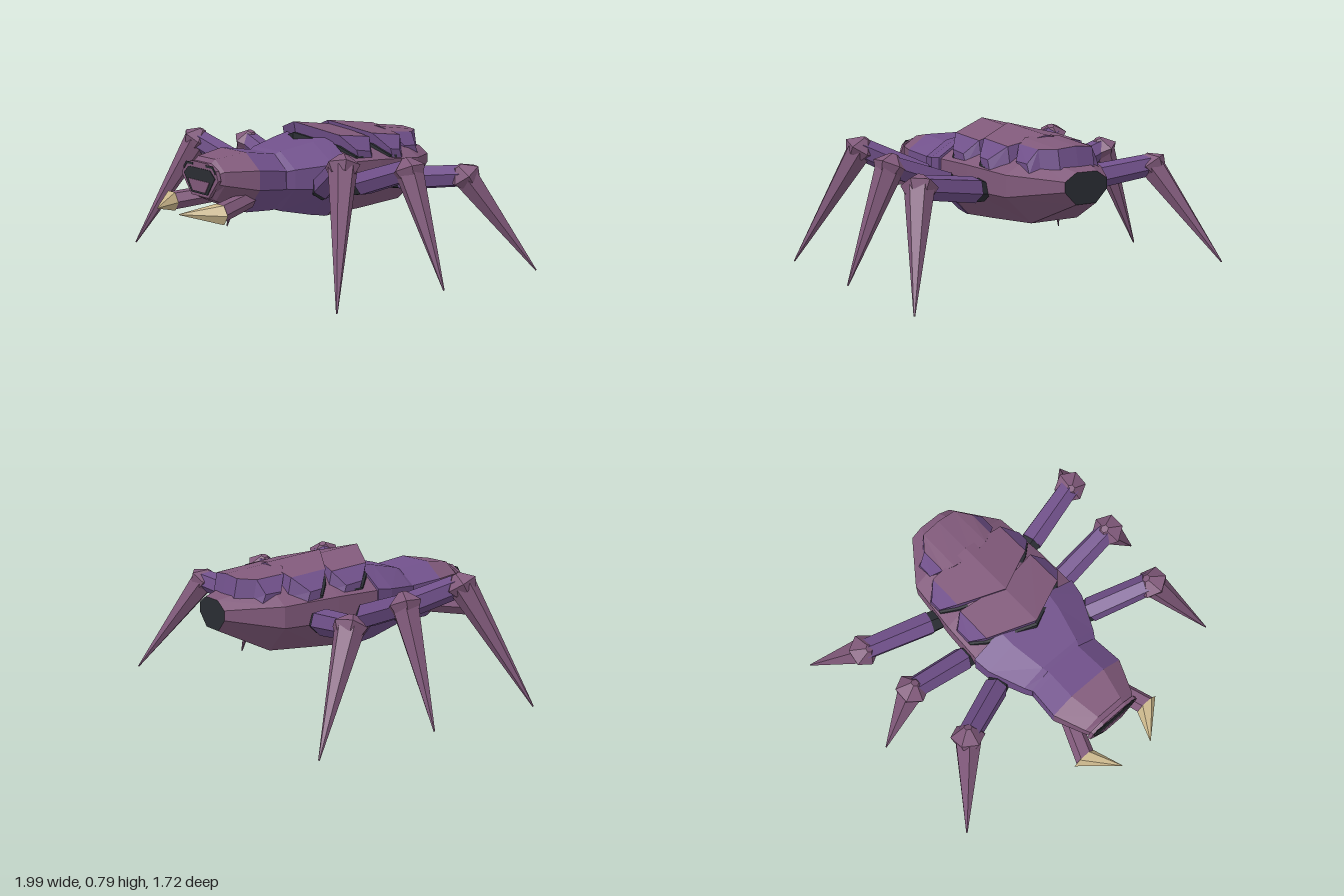
import * as THREE from 'three';

const V = (x, y, z) => new THREE.Vector3(x, y, z);
const mat = (name, color) => {
  const m = new THREE.MeshStandardMaterial({ color });
  m.name = name;
  return m;
};

export function createModel() {
  const mauve = mat('mauve shell', 0x80597a);
  const purple = mat('purple shell', 0x70508a);
  const dark = mat('dark joints', 0x2a2d33);
  const cream = mat('cream fang', 0xcbb78c);
  const model = new THREE.Group();
  model.name = 'beetle';

  // Flat-faceted skin over closed cross-sections; pick(i, j) gives a face's
  // material, with i = 'start' or 'end' for the caps.
  function loft(name, rings, pick) {
    const buckets = new Map();
    let volume = 0;
    const tri = (m, a, b, c) => {
      if (!buckets.has(m)) buckets.set(m, []);
      buckets.get(m).push([a, b, c]);
      volume += a.dot(b.clone().cross(c));
    };
    const n = rings[0].length;
    for (let i = 0; i < rings.length - 1; i++) {
      for (let j = 0; j < n; j++) {
        const k = (j + 1) % n, m = pick(i, j);
        const [a, b, c, d] = [rings[i][j], rings[i][k], rings[i + 1][k], rings[i + 1][j]];
        tri(m, a, b, c);
        tri(m, a, c, d);
      }
    }
    const last = rings[rings.length - 1];
    for (let j = 1; j < n - 1; j++) {
      tri(pick('start', j), rings[0][0], rings[0][j + 1], rings[0][j]);
      tri(pick('end', j), last[0], last[j], last[j + 1]);
    }
    const geo = new THREE.BufferGeometry(), pos = [], mats = [];
    for (const [m, tris] of buckets) {
      geo.addGroup(pos.length / 3, tris.length * 3, mats.length);
      mats.push(m);
      for (const [a, b, c] of tris) {
        for (const p of volume < 0 ? [a, c, b] : [a, b, c]) pos.push(p.x, p.y, p.z);
      }
    }
    geo.setAttribute('position', new THREE.Float32BufferAttribute(pos, 3));
    geo.computeVertexNormals();
    const mesh = new THREE.Mesh(geo, mats);
    mesh.name = name;
    model.add(mesh);
    return mesh;
  }

  // Octagonal section: depth, half width, bottom, top
  const octagon = ([z, w, y0, y1]) => {
    const lo = y0 + (y1 - y0) * 0.42, hi = y0 + (y1 - y0) * 0.74, t = w * 0.48;
    return [[t, y1], [w, hi], [w, lo], [t, y0], [-t, y0], [-w, lo], [-w, hi], [-t, y1]]
      .map(([x, y]) => V(x, y, z));
  };

  // Tapered prism between two points
  function prism(name, a, b, ra, rb, sides, material) {
    const dir = b.clone().sub(a);
    const geo = new THREE.CylinderGeometry(rb, ra, dir.length(), sides).toNonIndexed();
    geo.computeVertexNormals();
    const mesh = new THREE.Mesh(geo, material);
    mesh.quaternion.setFromUnitVectors(V(0, 1, 0), dir.normalize());
    mesh.position.copy(a).add(b).multiplyScalar(0.5);
    mesh.name = name;
    model.add(mesh);
  }

  // Abdomen with a dark rear opening, thorax and head
  loft('abdomen', [
    [-0.04, 0.34, 0.27, 0.70], [-0.3, 0.335, 0.283, 0.685],
    [-0.61, 0.31, 0.30, 0.65], [-0.86, 0.135, 0.42, 0.58],
  ].map(octagon), (i) => (i === 'end' ? dark : mauve));
  loft('thorax', [
    [-0.06, 0.35, 0.27, 0.71], [0.04, 0.335, 0.285, 0.69],
    [0.23, 0.25, 0.325, 0.65], [0.27, 0.225, 0.345, 0.63],
  ].map(octagon), () => purple);
  loft('head', [
    [0.2, 0.22, 0.335, 0.63], [0.29, 0.225, 0.335, 0.642], [0.45, 0.235, 0.345, 0.665],
    [0.62, 0.165, 0.42, 0.64], [0.645, 0.15, 0.45, 0.615],
  ].map(octagon), (i) => (i === 0 || i === 1 ? purple : mauve));

  // Face: lip, dark mouth, jaw plate and brows, as thin plates
  function plate(name, points, z, depth, material) {
    const geo = new THREE.ExtrudeGeometry(
      new THREE.Shape(points.map(([x, y]) => new THREE.Vector2(x, y))),
      { depth, bevelEnabled: false });
    const mesh = new THREE.Mesh(geo, material);
    mesh.position.z = z;
    mesh.name = name;
    model.add(mesh);
  }
  plate('lip', [[-0.17, 0.54], [-0.08, 0.44], [0.08, 0.44], [0.17, 0.54], [0.15, 0.59],
    [0.08, 0.62], [-0.08, 0.62], [-0.15, 0.59]], 0.645, 0.02, mauve);
  plate('mouth', [[-0.145, 0.55], [-0.075, 0.455], [0.075, 0.455], [0.145, 0.55], [0.1, 0.588],
    [-0.1, 0.588]], 0.665, 0.004, dark);
  plate('jawPlate', [[-0.1, 0.525], [-0.06, 0.465], [0.06, 0.465], [0.1, 0.525]], 0.668, 0.005, mauve);
  for (const s of [1, -1]) {
    const brow = [[0.06, 0.6], [0.12, 0.6], [0.145, 0.57], [0.15, 0.582], [0.125, 0.612], [0.06, 0.612]];
    plate('brow', brow.map(([x, y]) => [s * x, y]), 0.664, 0.004, dark);
  }

  // Back plates: half sections listed from the middle outward as
  // [x, front z, back z, front y, back y, thickness]
  const shells = [
    [[0, 0.045, -0.24, 0.785, 0.75, 0.1], [0.25, -0.07, -0.29, 0.725, 0.70, 0.1],
      [0.315, -0.14, -0.24, 0.645, 0.63, 0.06]],
    [[0, -0.2, -0.54, 0.775, 0.735, 0.1], [0.24, -0.32, -0.53, 0.715, 0.69, 0.1],
      [0.315, -0.39, -0.46, 0.63, 0.62, 0.06]],
    [[0, -0.48, -0.775, 0.735, 0.70, 0.1], [0.11, -0.5, -0.77, 0.725, 0.69, 0.1],
      [0.17, -0.53, -0.69, 0.70, 0.685, 0.1], [0.225, -0.58, -0.67, 0.62, 0.615, 0.05]],
  ];
  for (const half of shells) {
    const all = [...half.slice(1).reverse().map(([x, ...r]) => [-x, ...r]), ...half];
    const lastBand = all.length - 2;
    loft('backPlate', all.map(([x, zf, zb, yf, yb, t]) => [
      V(x, yf, zf), V(x, yb, zb), V(x, yb - t, zb - 0.02), V(x, yf - t, zf - 0.02),
    ]), (i, j) => {
      if (j === 3 && i !== 0 && i !== lastBand) return purple;
      return j === 0 && i > 0 && i < lastBand ? mauve : purple;
    });
    // dark seam under the front edge
    const seam = all.map(([x, zf, , yf, , t]) => [
      V(x, yf - t * 0.6, zf + 0.004), V(x, yf - t * 0.6, zf - 0.05),
      V(x, yf - t, zf - 0.05), V(x, yf - t, zf + 0.004),
    ]);
    loft('plateSeam', seam, () => dark);
  }

  // Legs: [hip, knee, foot] on the left, mirrored to the right
  const legs = [
    [[0.29, 0.45, 0.08], [0.655, 0.635, 0.25], [0.935, 0, 0.52]],
    [[0.31, 0.45, -0.14], [0.705, 0.585, -0.155], [0.965, 0, -0.165]],
    [[0.31, 0.46, -0.41], [0.755, 0.525, -0.52], [0.99, 0, -0.85]],
  ];
  for (const s of [1, -1]) {
    const P = ([x, y, z]) => V(s * x, y, z);
    for (const leg of legs) {
      const [hip, knee, foot] = leg.map(P);
      const thigh = hip.clone().lerp(knee, 0.15);
      prism('hipJoint', hip, thigh, 0.06, 0.064, 6, dark);
      prism('upperLeg', thigh, knee, 0.07, 0.062, 6, purple);
      const up = knee.clone().sub(foot).normalize();
      const at = (d) => knee.clone().addScaledVector(up, d);
      prism('lowerLeg', at(-0.01), foot, 0.075, 0.004, 6, mauve);
      prism('kneeCollar', at(-0.04), at(0.005), 0.068, 0.092, 6, mauve);
      prism('kneeCap', at(0.005), at(0.065), 0.092, 0.022, 6, mauve);
    }

    // Mandible arm and hooked fang
    const ring = (x, y, z, r) => Array.from({ length: 6 }, (_, i) =>
      V(s * (x + r * Math.cos(i * Math.PI / 3)), y + r * 0.85 * Math.sin(i * Math.PI / 3), z));
    loft('mandible', [ring(0.13, 0.42, 0.44, 0.055), ring(0.225, 0.387, 0.7, 0.06)], () => mauve);
    loft('fang', [ring(0.23, 0.385, 0.695, 0.068), ring(0.105, 0.385, 0.86, 0.003)], () => cream);
  }
  return model;
}
